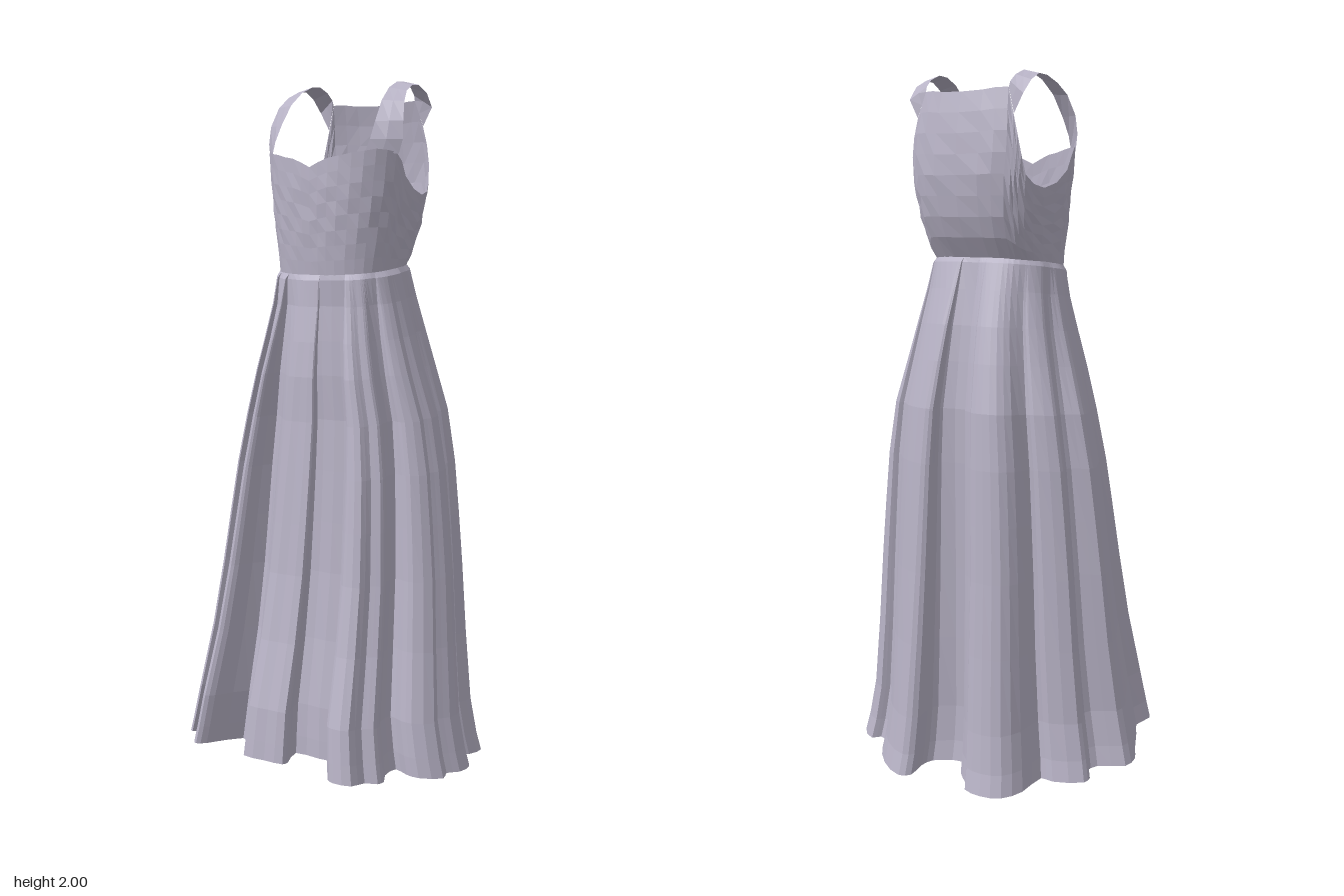
import * as THREE from 'three';

const fabric = new THREE.MeshStandardMaterial({ color: 0xb8b3c6, flatShading: true, side: THREE.DoubleSide });
fabric.name = 'lavender grey fabric';

const lerp = THREE.MathUtils.lerp;

// Reads a table of [key, v1, v2, ...] rows sorted by ascending key
function sample(table, key) {
  let i = 0;
  while (i < table.length - 2 && key > table[i + 1][0]) i++;
  const a = table[i], b = table[i + 1];
  const t = THREE.MathUtils.clamp((key - a[0]) / (b[0] - a[0]), 0, 1);
  return a.slice(1).map((v, k) => lerp(v, b[k + 1], t));
}

// Skins rows of points, listed from top to bottom
function loft(name, rows, closed) {
  const n = rows[0].length, index = [];
  for (let j = 0; j < rows.length - 1; j++) {
    for (let i = 0; i < (closed ? n : n - 1); i++) {
      const k = (i + 1) % n;
      const a = j * n + i, b = a + n, c = (j + 1) * n + k, d = j * n + k;
      index.push(a, b, c, a, c, d);
    }
  }
  const geo = new THREE.BufferGeometry();
  geo.setAttribute('position', new THREE.Float32BufferAttribute(rows.flat(2), 3));
  geo.setIndex(index);
  geo.computeVertexNormals();
  const mesh = new THREE.Mesh(geo, fabric);
  mesh.name = name;
  return mesh;
}

const waistY = z => 1.47 - 0.12 * z;
// Squareness of the torso section: round in front, squarer behind
const squareness = cos => (cos > 0 ? 2.35 : 3);

// Folded hem outline (x, z), from the front centre round by the wearer's left
const hem = [
  [0.0, 0.365], [0.06, 0.355], [0.06, 0.33], [0.02, 0.24], [0.1, 0.235], [0.17, 0.23], [0.2, 0.31], [0.23, 0.37],
  [0.26, 0.385], [0.31, 0.37], [0.32, 0.32], [0.35, 0.3], [0.35, 0.27], [0.32, 0.22], [0.31, 0.15], [0.36, 0.17],
  [0.4, 0.17], [0.45, 0.12], [0.43, 0.07], [0.45, 0.03], [0.44, -0.04], [0.41, -0.05], [0.37, -0.03], [0.36, -0.1],
  [0.38, -0.14], [0.38, -0.21], [0.32, -0.25], [0.3, -0.23], [0.26, -0.25], [0.25, -0.28], [0.18, -0.35],
  [0.09, -0.39], [0.06, -0.37], [0.07, -0.31], [0.06, -0.27], [-0.04, -0.23], [-0.06, -0.29], [-0.11, -0.33],
  [-0.13, -0.36], [-0.19, -0.37], [-0.25, -0.35], [-0.28, -0.29], [-0.28, -0.2], [-0.32, -0.2], [-0.4, -0.16],
  [-0.4, -0.13], [-0.37, -0.1], [-0.38, -0.06], [-0.45, -0.02], [-0.45, 0.03], [-0.42, 0.08], [-0.37, 0.17],
  [-0.34, 0.22], [-0.35, 0.28], [-0.33, 0.3], [-0.29, 0.22], [-0.26, 0.37], [-0.24, 0.385], [-0.22, 0.36],
  [-0.18, 0.24], [-0.13, 0.28], [-0.07, 0.37],
];

// Skirt sections: height, half width, front z, back z, pleat depth
const skirtRows = [
  [1.47, 0.185, 0.13, -0.155, 0], [1.455, 0.197, 0.14, -0.168, 0.12], [1.38, 0.212, 0.15, -0.195, 0.32],
  [1.28, 0.238, 0.172, -0.23, 0.48], [1.18, 0.268, 0.19, -0.258, 0.6], [1.05, 0.308, 0.203, -0.29, 0.72],
  [0.9, 0.338, 0.225, -0.305, 0.8], [0.75, 0.357, 0.247, -0.315, 0.86], [0.6, 0.374, 0.27, -0.325, 0.91],
  [0.4, 0.392, 0.312, -0.342, 0.96], [0.2, 0.415, 0.365, -0.362, 1], [0.1, 0.436, 0.38, -0.376, 1],
  [0.045, 0.45, 0.388, -0.39, 1],
];

function skirt() {
  // Round the folds through the outline points
  const curve = new THREE.CatmullRomCurve3(hem.map(([x, z]) => new THREE.Vector3(x, 0, z)), true);
  const outline = curve.getPoints(hem.length * 2).slice(0, -1);
  let last = 0;
  const folds = outline.map(({ x, z }) => {
    const u = x / 0.45, v = z / 0.39;
    let a = Math.atan2(u, v);
    if (a < -1e-6) a += Math.PI * 2;
    last = Math.max(last, a); // keep the waistline from doubling back
    const s = Math.sin(last), c = Math.cos(last), n = squareness(c);
    const r = (Math.abs(s) ** n + Math.abs(c) ** n) ** (-1 / n);
    return { u, v, su: s * r, sv: c * r };
  });
  const rows = skirtRows.map(([y, hw, zf, zb, pleat]) => folds.map(f => {
    const x = hw * lerp(f.su, f.u, pleat);
    const z = (zf + zb) / 2 + (zf - zb) / 2 * lerp(f.sv, f.v, pleat);
    // Waist tilt fades into hem tilt
    return [x, y + z * lerp(0.115, -0.12, y / 1.47), z];
  }));
  return loft('skirt', rows, true);
}

// Bodice sections: height, half width, front z, back z
const torso = [
  [1.45, 0.185, 0.13, -0.155], [1.5, 0.19, 0.134, -0.175], [1.6, 0.208, 0.14, -0.213], [1.7, 0.224, 0.142, -0.23],
  [1.8, 0.236, 0.138, -0.224], [1.88, 0.226, 0.13, -0.212], [1.95, 0.215, 0.12, -0.194],
];

// Top edge: angle from the front in degrees, height
const topEdge = [
  [0, 1.755], [5, 1.768], [12, 1.78], [20, 1.785], [30, 1.793], [40, 1.797], [50, 1.803], [60, 1.8], [69, 1.795],
  [76, 1.77], [82, 1.73], [91, 1.695], [102, 1.68], [114, 1.69], [124, 1.715], [131, 1.77], [136, 1.825],
  [140, 1.88], [146, 1.95], [158, 1.95], [169, 1.945], [180, 1.943],
];

function bodice() {
  const edge = [...topEdge, ...topEdge.slice(1, -1).reverse().map(([a, y]) => [360 - a, y])];
  const steps = 8, rows = [];
  for (let j = 0; j <= steps; j++) {
    rows.push(edge.map(([deg, top], i) => {
      const a = deg * Math.PI / 180, t = j / steps;
      const bend = v => Math.sign(v) * Math.abs(v) ** (2 / squareness(Math.cos(a)));
      const low = waistY(0.14 * Math.cos(a));
      const y = lerp(top, low, t);
      const [hw, zf, zb] = j === steps ? [0.185, 0.13, -0.155] : sample(torso, y);
      // Faint wrinkles, none at the seam
      const k = 1 + 0.012 * Math.sin(i * 2.3 + j * 1.7) * Math.sin(Math.PI * t);
      return [hw * k * bend(Math.sin(a)), y, (zf + zb) / 2 + (zf - zb) / 2 * k * bend(Math.cos(a))];
    }));
  }
  return loft('bodice', rows, true);
}

// Shoulder strap: inner and outer edges from bust to back
const strapEdges = [
  [[0.163, 1.797, 0.099], [0.228, 1.79, 0.03]],
  [[0.167, 1.83, 0.083], [0.237, 1.83, 0.024]],
  [[0.165, 1.88, 0.055], [0.234, 1.88, 0.018]],
  [[0.16, 1.94, 0.015], [0.222, 1.935, -0.005]],
  [[0.154, 1.978, -0.03], [0.21, 1.966, -0.035]],
  [[0.15, 1.997, -0.075], [0.203, 1.985, -0.075]],
  [[0.149, 2.0, -0.11], [0.201, 1.988, -0.11]],
  [[0.149, 1.985, -0.148], [0.203, 1.968, -0.15]],
  [[0.147, 1.965, -0.17], [0.2, 1.93, -0.183]],
  [[0.146, 1.95, -0.175], [0.17, 1.878, -0.184]],
];

function strap(side) {
  const rows = strapEdges.map(([inner, outer]) => {
    const mid = inner.map((v, k) => (v + outer[k]) / 2);
    const row = [inner, mid, outer].map(([x, y, z]) => [x * side, y, z]);
    return side > 0 ? row.reverse() : row;
  });
  return loft(side > 0 ? 'leftStrap' : 'rightStrap', rows, false);
}

export function createModel() {
  const dress = new THREE.Group();
  dress.name = 'dress';
  dress.add(skirt(), bodice(), strap(1), strap(-1));
  return dress;
}
